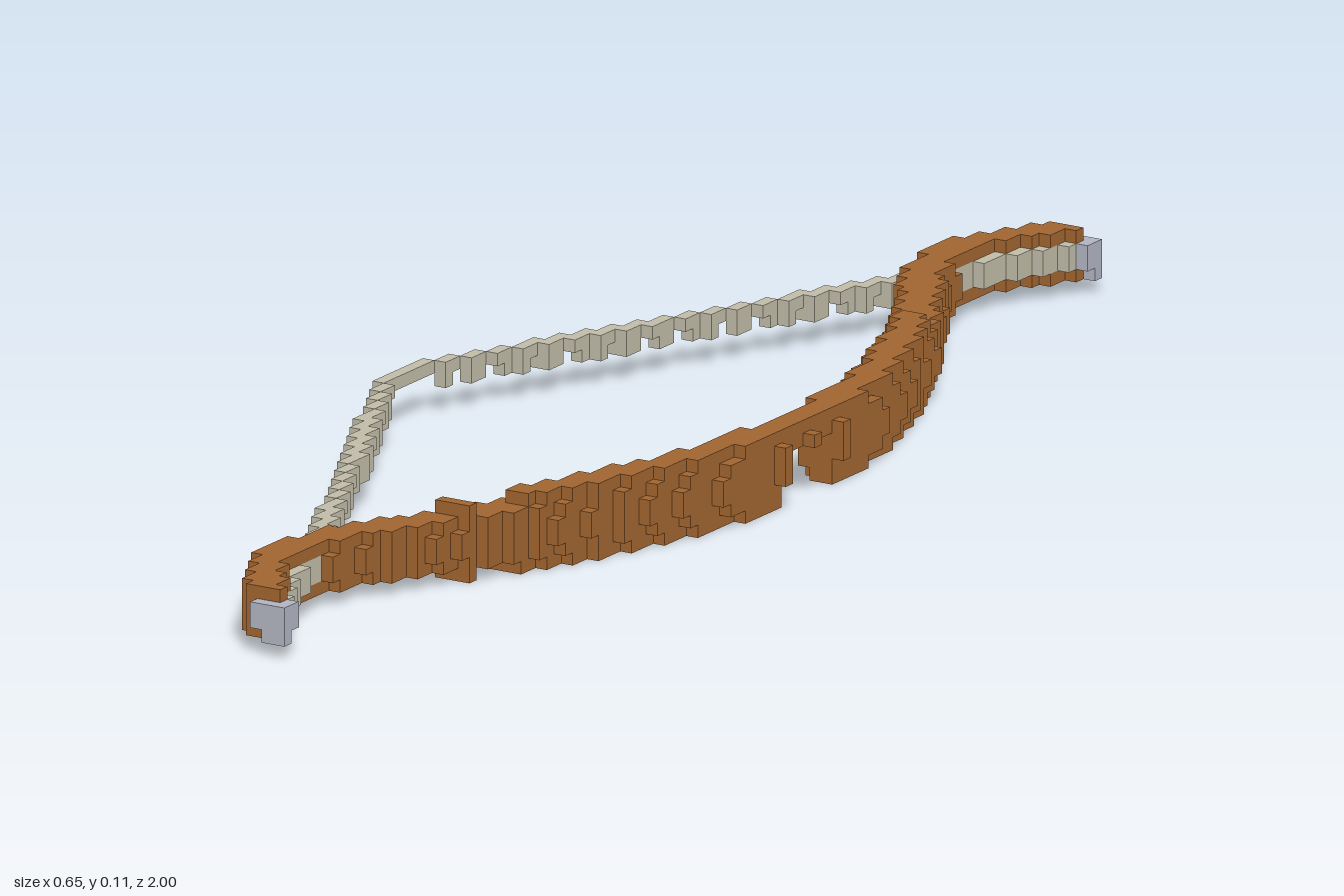
import * as THREE from 'three';

// Voxel grid: 37 wide, 6 high, 113 long
const NX = 37, NY = 6, NZ = 113, U = 2 / NZ;

// Distance from the middle, inner edge and outer edge of the wooden bow
const WOOD = [
  [0, 0.257, 0.31], [0.15, 0.247, 0.308], [0.25, 0.222, 0.285], [0.35, 0.187, 0.25],
  [0.45, 0.15, 0.213], [0.55, 0.1, 0.16], [0.65, 0.045, 0.103], [0.72, 0.012, 0.062],
  [0.8, -0.01, 0.035], [0.87, 0.004, 0.05], [0.93, 0.036, 0.085], [0.985, 0.066, 0.125],
];
// Distance from the middle and centre of the string
const STRING = [
  [0, -0.319], [0.04, -0.319], [0.7, -0.005], [0.78, 0.03], [0.87, 0.055], [0.93, 0.084], [0.985, 0.118],
];

// Linear interpolation in a table sorted by its first column
function sample(table, d, column) {
  let i = 1;
  while (i < table.length - 1 && table[i][0] < d) i++;
  const a = table[i - 1], b = table[i];
  const t = Math.min(1, (d - a[0]) / (b[0] - a[0]));
  return a[column] + (b[column] - a[column]) * t;
}

// Which part fills a voxel, or null
function partAt(i, j, k) {
  if (i < 0 || j < 0 || k < 0 || i >= NX || j >= NY || k >= NZ) return null;
  const x = (i + 0.5 - NX / 2) * U;
  const z = (k + 0.5 - NZ / 2) * U;
  const d = Math.abs(z);

  // Metal tips
  const end = Math.min(k, NZ - 1 - k);
  if (end < 2) {
    if ((j === 2 || j === 3) && i >= (end === 0 ? 23 : 24) && i <= 25) return 'tip';
    if (j === 1 && end === 0 && (i === 24 || i === 25)) return 'tip';
    if (end === 0) return null;
  }

  // String, two voxels high with a ragged underside
  if (j === 3 || (j === 2 && d > 0.06 && (d > 0.7 || k % 3 !== 0))) {
    if (Math.abs(x - sample(STRING, d, 1)) < 0.62 * U) return 'string';
  }

  // Arrow rest cut out of the grip
  if (d < 0.062 && j < 4) return null;

  // Small studs on the outer face
  if (i === 36) return (k === 56 && j === 4) || ((k === 52 || k === 60) && j >= 2 && j <= 4) ? 'grip' : null;

  // Wood, thicker towards the middle
  const top = j === 5, bottom = j === 0;
  if (top && d > 0.485 && k !== 88) return null;
  if (bottom && (z > 0.505 || z < -0.575) && k !== 88) return null;
  const inset = top || bottom ? 0.8 * U : 0;
  const bulge = j === 2 || j === 3 ? 0.3 * U : top || bottom ? -0.3 * U : 0;
  const inner = sample(WOOD, d, 1) + inset;
  const outer = sample(WOOD, d, 2) + bulge;
  if (x < inner || x > outer) return null;
  return d < 0.1 ? 'grip' : z > 0 ? 'frontLimb' : 'backLimb';
}

// Add one exposed square of a voxel
function addFace(out, cell, axis, sign) {
  const u = (axis + 1) % 3, v = (axis + 2) % 3;
  const corners = [[0, 0], [1, 0], [1, 1], [0, 1]].map(([a, b]) => {
    const p = cell.slice();
    if (sign > 0) p[axis] += 1;
    p[u] += a;
    p[v] += b;
    return [(p[0] - NX / 2) * U, p[1] * U, (p[2] - NZ / 2) * U];
  });
  const order = sign > 0 ? [0, 1, 2, 0, 2, 3] : [0, 2, 1, 0, 3, 2];
  order.forEach((n) => out.push(...corners[n]));
}

export function createModel() {
  const wood = new THREE.MeshStandardMaterial({ color: 0xa0642f });
  const cord = new THREE.MeshStandardMaterial({ color: 0xc0bba8 });
  const metal = new THREE.MeshStandardMaterial({ color: 0xb0b3c0 });
  wood.name = 'wood';
  cord.name = 'cord';
  metal.name = 'metal';
  const materials = { grip: wood, frontLimb: wood, backLimb: wood, string: cord, tip: metal };

  // Collect the outer faces of every part
  const faces = {};
  for (const name in materials) faces[name] = [];
  for (let k = 0; k < NZ; k++) for (let j = 0; j < NY; j++) for (let i = 0; i < NX; i++) {
    const part = partAt(i, j, k);
    if (!part) continue;
    for (let axis = 0; axis < 3; axis++) for (const sign of [-1, 1]) {
      const next = [i, j, k];
      next[axis] += sign;
      if (!partAt(...next)) addFace(faces[part], [i, j, k], axis, sign);
    }
  }

  const bow = new THREE.Group();
  bow.name = 'bow';
  for (const name in materials) {
    const geometry = new THREE.BufferGeometry();
    geometry.setAttribute('position', new THREE.Float32BufferAttribute(faces[name], 3));
    geometry.computeVertexNormals();
    const mesh = new THREE.Mesh(geometry, materials[name]);
    mesh.name = name;
    bow.add(mesh);
  }
  return bow;
}
